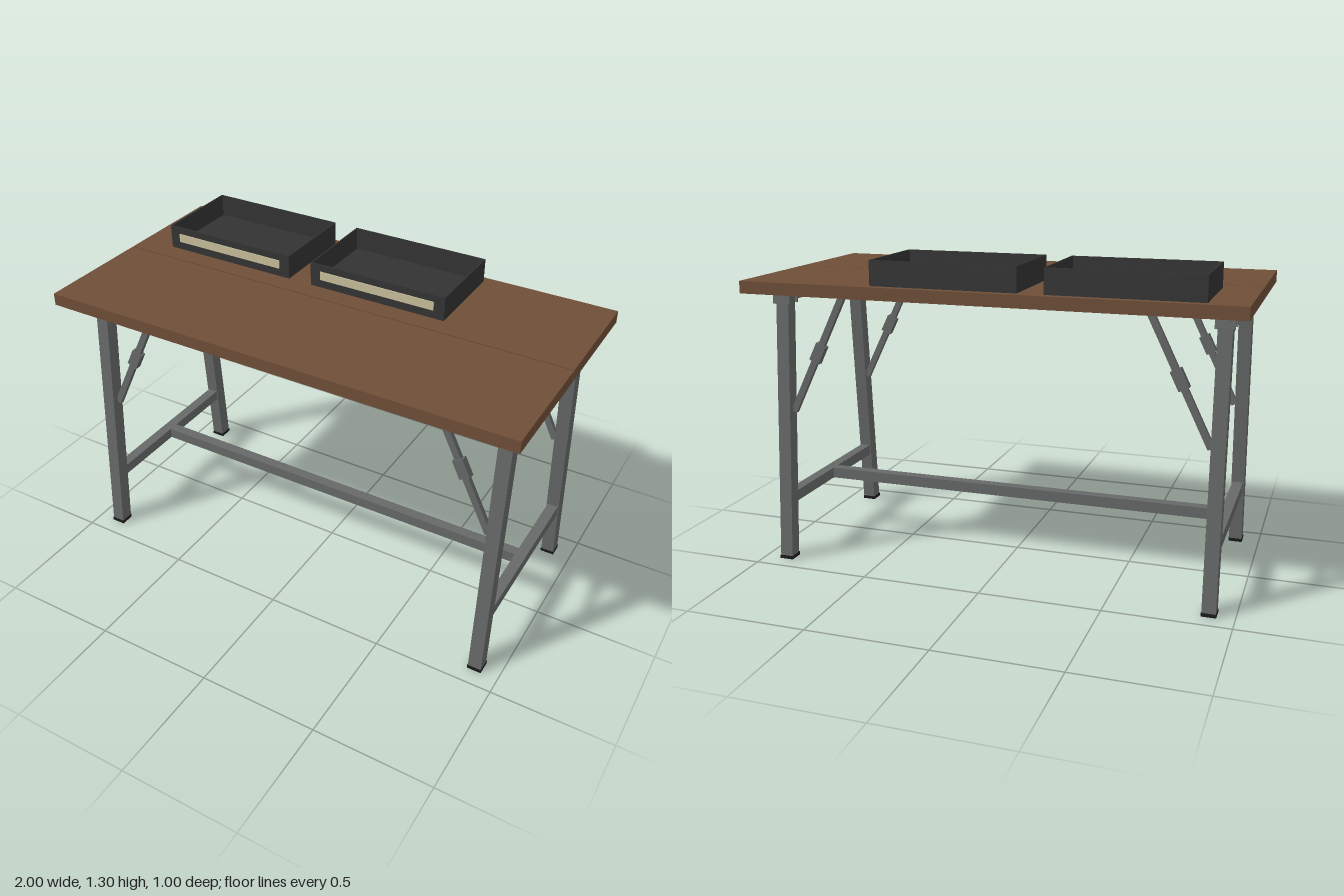
import * as THREE from 'three';

const mat = (color) => new THREE.MeshStandardMaterial({ color });

export function createModel() {
  const model = new THREE.Group();
  const wood = mat(0x6f4e37), steel = mat(0x666968), black = mat(0x1a1a1a);
  const trayGrey = mat(0x333333), cream = mat(0xc8bf9a);

  function box(parent, name, material, size, pos) {
    const mesh = new THREE.Mesh(new THREE.BoxGeometry(...size), material);
    mesh.name = name;
    mesh.position.set(...pos);
    parent.add(mesh);
    return mesh;
  }

  // Outward lean of the legs: z position of the leg axis at height y
  const legZ = (y) => 0.401 - 0.0725 * y;

  // Box that follows the leg's slope, with level ends
  function leaning(name, material, size, x, y, side, offset = 0) {
    const mesh = box(model, name, material, size, [x, 0, 0]);
    const p = mesh.geometry.attributes.position;
    for (let i = 0; i < p.count; i++) {
      const h = p.getY(i) + y;
      p.setXYZ(i, p.getX(i), h, p.getZ(i) + side * (legZ(h) + offset));
    }
    mesh.geometry.computeVertexNormals();
  }

  // Two table boards with a narrow seam
  for (const s of [-1, 1]) box(model, 'tabletopBoard', wood, [2, 0.05, 0.497], [0, 1.175, s * 0.2515]);

  for (const sx of [-1, 1]) {
    for (const sz of [-1, 1]) {
      // Splayed leg, foot cap and mounting plates
      leaning('leg', steel, [0.055, 1.138, 0.056], sx * 0.9, 0.581, sz);
      leaning('footCap', black, [0.059, 0.014, 0.06], sx * 0.9, 0.007, sz);
      for (const o of [-0.032, 0.032]) leaning('legBracket', steel, [0.075, 0.06, 0.008], sx * 0.9, 1.12, sz, o);

      // Diagonal folding brace with its locking sleeve
      const brace = new THREE.Group();
      brace.name = 'brace';
      const dx = -0.25, dy = 0.51;
      box(brace, 'braceBar', steel, [0.027, Math.hypot(dx, dy), 0.02], [0, 0, 0]);
      box(brace, 'braceSleeve', steel, [0.045, 0.08, 0.03], [0, 0, 0]);
      brace.position.set(sx * 0.745, 0.893, sz * 0.345);
      brace.rotation.z = sx * Math.atan2(-dx, dy);
      model.add(brace);
    }
    // Cross rails joining each pair of legs
    box(model, 'lowerSideRail', steel, [0.045, 0.046, 0.72], [sx * 0.9, 0.262, 0]);
    box(model, 'upperSideRail', steel, [0.045, 0.045, 0.6], [sx * 0.9, 1.123, 0]);
  }
  box(model, 'longStretcher', steel, [1.76, 0.046, 0.045], [0, 0.262, 0]);

  // Open trays with a label strip on the front
  for (const x of [-0.552, 0.148]) {
    const tray = new THREE.Group();
    tray.name = 'tray';
    const w = 0.596, d = 0.38, h = 0.1, t = 0.006;
    box(tray, 'trayFloor', trayGrey, [w, t, d], [0, t / 2, 0]);
    for (const s of [-1, 1]) {
      box(tray, 'trayEndWall', trayGrey, [t, h, d], [s * (w - t) / 2, h / 2, 0]);
      box(tray, 'trayLongWall', trayGrey, [w - 2 * t, h, t], [0, h / 2, s * (d - t) / 2]);
    }
    box(tray, 'labelStrip', cream, [0.505, 0.036, 0.006], [0, 0.053, d / 2 + 0.001]);
    tray.position.set(x, 1.2, -0.276);
    model.add(tray);
  }
  return model;
}
